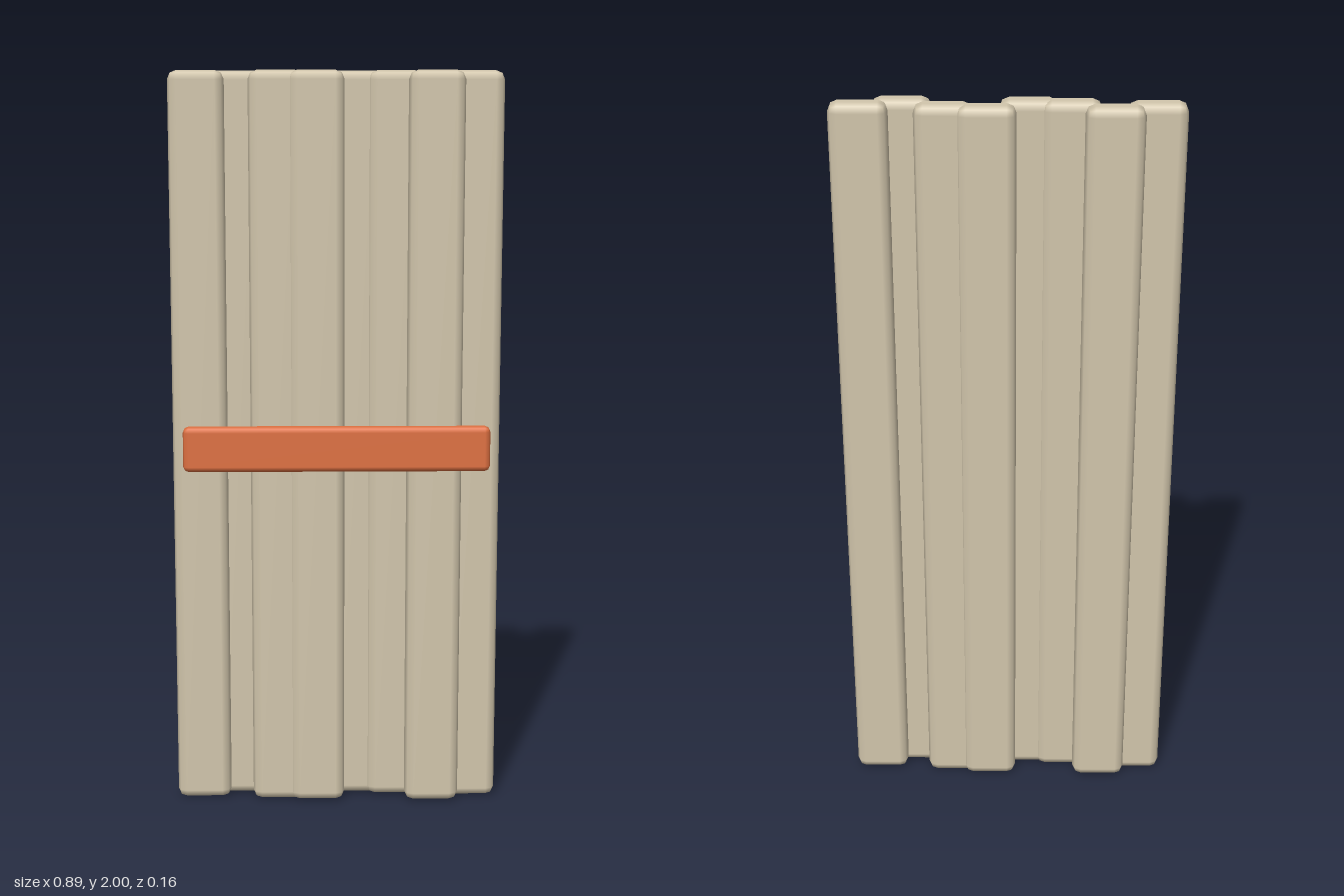
import * as THREE from 'three';
import { RoundedBoxGeometry } from 'three/addons/geometries/RoundedBoxGeometry.js';

export function createModel() {
  const model = new THREE.Group();
  model.name = 'plankPanel';

  const wood = new THREE.MeshStandardMaterial({ color: 0xd2c6ac });
  const orange = new THREE.MeshStandardMaterial({ color: 0xdf7040 });

  // Upright planks, evenly spaced and overlapping, each set at its own depth
  const depths = [-0.014, -0.048, 0.002, 0.013, -0.043, -0.029, 0.0215, -0.015];
  const plank = new RoundedBoxGeometry(0.148, 2, 0.07, 1, 0.024);
  const planks = new THREE.Group();
  planks.name = 'planks';
  depths.forEach((z, i) => {
    const mesh = new THREE.Mesh(plank, wood);
    mesh.name = `plank${i + 1}`;
    mesh.position.set((i - 3.5) * 0.1055, 1, z);
    planks.add(mesh);
  });
  model.add(planks);

  // Crossbar on the front, halfway up
  const bar = new THREE.Mesh(new RoundedBoxGeometry(0.824, 0.122, 0.044, 1, 0.015), orange);
  bar.name = 'crossbar';
  bar.position.set(0, 1.003, 0.058);
  model.add(bar);

  return model;
}
